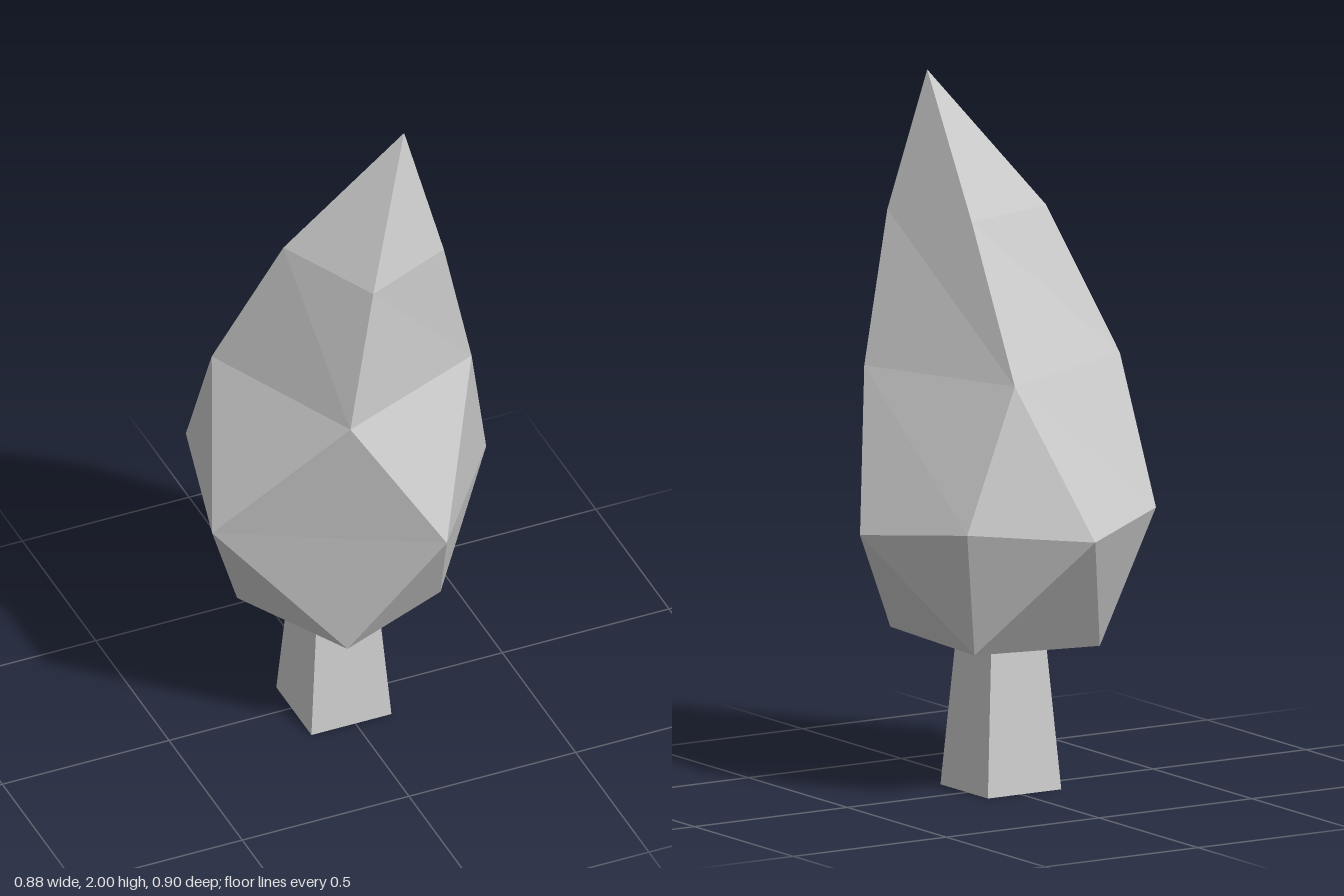
import * as THREE from 'three';

const material = () => new THREE.MeshStandardMaterial({ color: 0xcccccc, flatShading: true });

// Joins two closed rings with triangles: L advances the lower ring, U the upper one
function stitch(upper, lower, steps, out) {
  let u = 0, l = 0;
  for (const step of steps) {
    const a = upper[u % upper.length], b = lower[l % lower.length];
    out.push(a, b, step === 'L' ? lower[++l % lower.length] : upper[++u % upper.length]);
  }
}

// Faceted crown: a leaning tip above four irregular rings
function makeFoliage() {
  const tip = [0.135, 2, 0.16];
  const top = [[-0.17, 1.61, 0.03], [-0.03, 1.61, 0.325], [0.23, 1.61, 0.215], [0.138, 1.61, -0.07]];
  const shoulder = [[-0.33, 1.2, -0.095], [-0.125, 1.215, 0.385], [0.33, 1.19, 0.177], [0.148, 1.19, -0.303]];
  const belly = [[-0.44, 0.8, 0.158], [0.137, 0.79, 0.447], [0.437, 0.75, 0.033],
    [0.305, 0.79, -0.305], [-0.02, 0.76, -0.45], [-0.322, 0.8, -0.29]];
  const base = [[-0.3, 0.435, 0.01], [-0.09, 0.385, 0.285], [0.22, 0.44, 0.215],
    [0.22, 0.43, -0.21], [-0.19, 0.413, -0.21]];

  const corners = [];
  stitch([tip], top, 'LLLL', corners);
  stitch(top, shoulder, 'LULULULU', corners);
  stitch(shoulder, belly, 'ULULLULLUL', corners);
  stitch(belly, base, 'LULULUULULU', corners);
  // Underside fans out from the lowest corner
  for (const [i, j] of [[0, 4], [4, 3], [3, 2]]) corners.push(base[1], base[i], base[j]);

  const geometry = new THREE.BufferGeometry();
  geometry.setAttribute('position', new THREE.Float32BufferAttribute(corners.flat(), 3));
  geometry.computeVertexNormals();
  const mesh = new THREE.Mesh(geometry, material());
  mesh.name = 'foliage';
  return mesh;
}

// Square tapered trunk running up into the crown
function makeTrunk() {
  const height = 0.46;
  const geometry = new THREE.CylinderGeometry(0.086 * Math.SQRT2, 0.12 * Math.SQRT2, height, 4);
  geometry.rotateY(Math.PI / 4);
  geometry.translate(-0.012, height / 2, 0.015);
  const mesh = new THREE.Mesh(geometry, material());
  mesh.name = 'trunk';
  return mesh;
}

export function createModel() {
  const tree = new THREE.Group();
  tree.name = 'tree';
  tree.add(makeTrunk(), makeFoliage());
  return tree;
}
